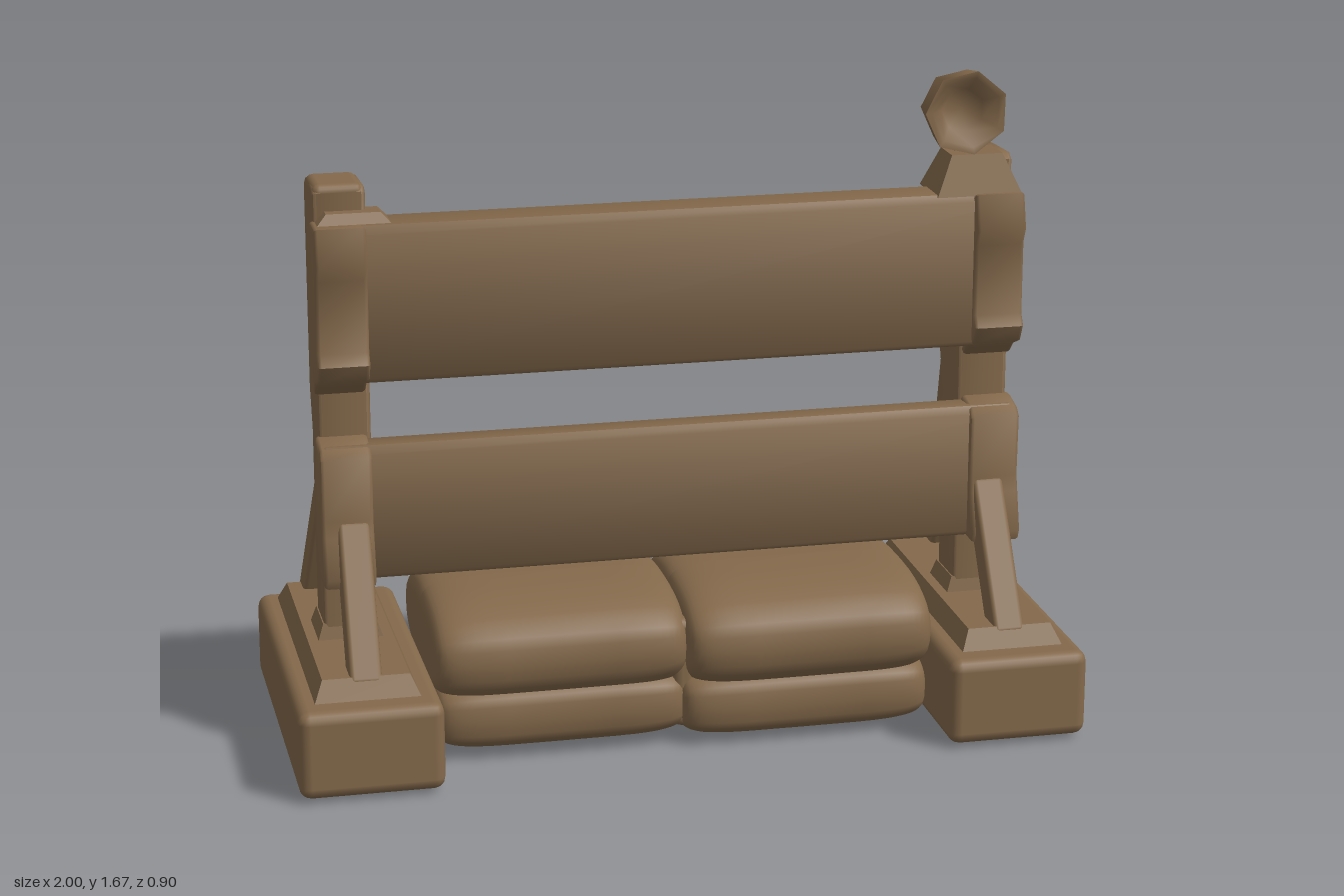
import * as THREE from 'three';
import { RoundedBoxGeometry } from 'three/addons/geometries/RoundedBoxGeometry.js';
import { toCreasedNormals } from 'three/addons/utils/BufferGeometryUtils.js';

const wood = new THREE.MeshStandardMaterial({ color: 0x84694b });
wood.name = 'brown';

export function createModel() {
  const model = new THREE.Group();
  model.name = 'barricade';

  const add = (name, geometry, x = 0, y = 0, z = 0) => {
    const mesh = new THREE.Mesh(geometry, wood);
    mesh.name = name;
    mesh.position.set(x, y, z);
    model.add(mesh);
    return mesh;
  };

  // Rounded box given by its limits
  const block = (name, x0, x1, y0, y1, z0, z1, r = 0.015) =>
    add(name, new RoundedBoxGeometry(x1 - x0, y1 - y0, z1 - z0, 2, r),
      (x0 + x1) / 2, (y0 + y1) / 2, (z0 + z1) / 2);

  // Box whose top shrinks by the given factors
  const tapered = (w, h, d, sx, sz) => {
    const g = new THREE.BoxGeometry(w, h, d);
    const p = g.attributes.position;
    for (let i = 0; i < p.count; i++) {
      if (p.getY(i) > 0) { p.setX(i, p.getX(i) * sx); p.setZ(i, p.getZ(i) * sz); }
    }
    g.computeVertexNormals();
    return g;
  };

  // Square bar between two points
  const bar = (name, a, b, w, d) => {
    const from = new THREE.Vector3(...a), to = new THREE.Vector3(...b);
    const mesh = add(name, new RoundedBoxGeometry(w, from.distanceTo(to), d, 2, 0.012));
    mesh.position.copy(from).lerp(to, 0.5);
    mesh.quaternion.setFromUnitVectors(new THREE.Vector3(0, 1, 0), to.sub(from).normalize());
  };

  // Profile of [z, y] points extruded along x, with slightly bevelled ends
  const plank = (name, points, length, x = 0) => {
    const shape = new THREE.Shape(points.map(([z, y]) => new THREE.Vector2(z, y)));
    const bevel = 0.01;
    const g = new THREE.ExtrudeGeometry(shape, {
      depth: length - 2 * bevel, bevelThickness: bevel, bevelSize: bevel,
      bevelOffset: -bevel, bevelSegments: 2,
    });
    g.translate(0, 0, bevel - length / 2);
    g.rotateY(-Math.PI / 2);
    add(name, toCreasedNormals(g, 0.9), x);
  };

  // Stuffed sack: a sphere squared off, pinched more in height than in depth
  const sack = (name, x0, x1, y0, y1, z0, z1, round) => {
    const g = new THREE.SphereGeometry(1, 32, 24);
    g.rotateZ(-Math.PI / 2);
    const p = g.attributes.position;
    const pow = (v, e) => Math.sign(v) * Math.abs(v) ** e;
    for (let i = 0; i < p.count; i++) {
      const c = Math.hypot(p.getY(i), p.getZ(i));
      const u = c > 1e-6 ? p.getY(i) / c : 0, v = c > 1e-6 ? p.getZ(i) / c : 0;
      p.setXYZ(i,
        pow(p.getX(i), 0.4) * (x1 - x0) / 2,
        pow(u, round) * c ** 0.3 * (y1 - y0) / 2,
        pow(v, round) * c ** 0.12 * (z1 - z0) / 2);
    }
    g.computeVertexNormals();
    add(name, g, (x0 + x1) / 2, (y0 + y1) / 2, (z0 + z1) / 2);
  };

  // Feet, posts and braces on both sides
  for (const s of [-1, 1]) {
    const side = s > 0 ? 'left' : 'right';
    block(side + 'Foot', s * 0.82 - 0.18, s * 0.82 + 0.18, 0.01, 0.235, -0.45, 0.45, 0.03);
    add(side + 'Plinth', tapered(0.27, 0.06, 0.79, 0.8, 0.91), s * 0.82, 0.255, -0.01);
    add(side + 'PostCollar', tapered(0.17, 0.05, 0.16, 0.8, 0.85), s * 0.82, 0.3, 0);
    plank(side + 'Post', [[-0.065, 0.25], [0.07, 0.25], [0.07, 1.43], [0.05, 1.445],
      [-0.08, 1.44], [-0.1, 1.42], [-0.1, 0.9], [-0.065, 0.8]], 0.13, s * 0.82);
    bar(side + 'FrontBrace', [s * 0.82, 0.25, 0.325], [s * 0.815, 0.6, 0.12], 0.08, 0.08);
    bar(side + 'BackBrace', [s * 0.855, 0.25, -0.365], [s * 0.8, 0.88, -0.065], 0.08, 0.075);

    // Lumpy ends of the boards
    plank(side + 'UpperBoardEnd', [[0.06, 0.925], [0.07, 0.925], [0.1, 0.955], [0.15, 0.975], [0.173, 1.02],
      [0.155, 1.05], [0.155, 1.23], [0.173, 1.27], [0.15, 1.36], [0.06, 1.36]], 0.13, s * 0.83);
    plank(side + 'LowerBoardEnd', [[0.06, 0.46], [0.18, 0.455], [0.19, 0.48], [0.165, 0.58],
      [0.155, 0.62], [0.16, 0.78], [0.14, 0.8], [0.08, 0.815], [0.06, 0.815]], 0.13, s * 0.83);
  }
  block('rightPostCap', -0.885, -0.76, 1.36, 1.45, -0.08, 0.07, 0.02);
  add('rightCapWedge', tapered(0.19, 0.03, 0.1, 0.7, 0.6), -0.79, 1.37, 0.07);

  // Boards; the upper one hangs from a rounded rail
  plank('upperBoard', [[0.085, 0.97], [0.13, 0.965], [0.145, 0.98], [0.145, 1.34], [0.13, 1.36],
    [0.03, 1.36], [0.008, 1.35], [0, 1.33], [0.008, 1.305], [0.03, 1.29], [0.07, 1.275], [0.075, 0.985]], 1.77);
  plank('lowerBoard', [[0.085, 0.465], [0.13, 0.46], [0.145, 0.475], [0.145, 0.785], [0.13, 0.805],
    [0.07, 0.805], [0.055, 0.79], [0.06, 0.765], [0.075, 0.74], [0.075, 0.48]], 1.77);

  // Two layers of sacks, the upper ones domed
  sack('rightLowerSack', -0.63, 0.01, 0.005, 0.21, -0.28, 0.28, 0.6);
  sack('leftLowerSack', -0.01, 0.63, 0, 0.205, -0.26, 0.31, 0.6);
  sack('rightUpperSack', -0.635, 0.01, 0.12, 0.4, -0.3, 0.295, 0.78);
  sack('leftUpperSack', 0.0, 0.635, 0.12, 0.405, -0.275, 0.335, 0.78);
  block('sackJoin', -0.03, 0.03, 0.04, 0.33, -0.22, 0.25, 0.025);

  // Lamp with a hollow face, its neck and mount
  const profile = [[0, -0.075], [0.065, -0.066], [0.095, -0.02], [0.108, 0.068],
    [0.09, 0.066], [0.055, 0.03], [0, 0.02]].map(([r, y]) => new THREE.Vector2(r, y));
  const lamp = new THREE.LatheGeometry(profile, 7);
  lamp.rotateX(Math.PI / 2);
  add('lamp', toCreasedNormals(lamp, 0.95), 0.745, 1.565, 0.06).rotation.z = 0.2;
  bar('lampNeck', [0.76, 1.5, 0.03], [0.79, 1.39, 0], 0.08, 0.07);
  add('lampMount', tapered(0.22, 0.1, 0.16, 0.6, 0.6), 0.78, 1.405, 0.06);

  return model;
}
